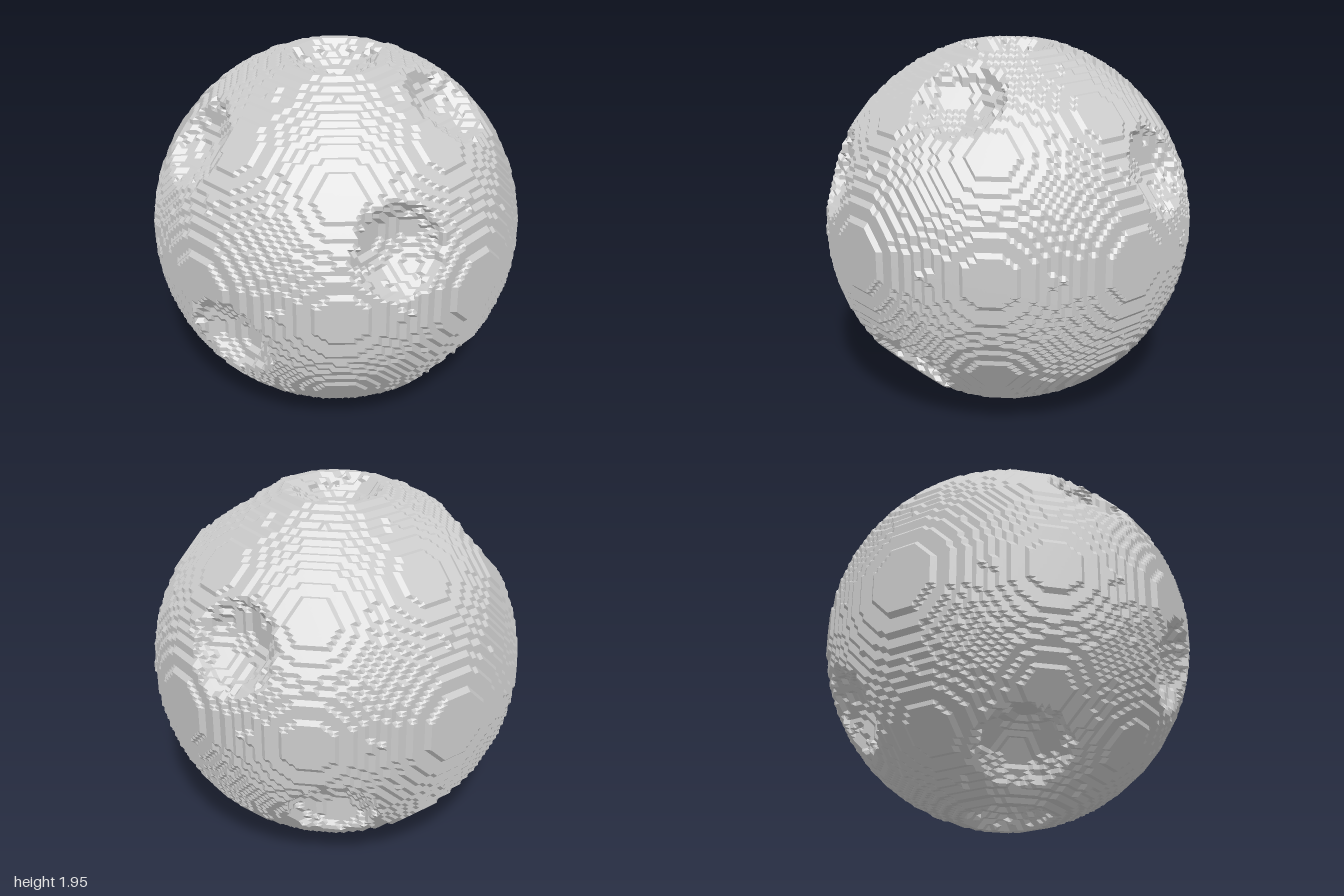
import * as THREE from 'three';

const N = 40;               // voxels from the centre to the outermost layer
const R = 40.73;            // sphere radius in voxels
const UNIT = 1 / (N + 0.5); // voxel size
const S = 2 * N + 3;        // samples per axis, with an empty border

// Crater directions, seen from the centre of the moon
const CRATERS = [
  [0, 1, 0], [0, -1, 0],
  [0.26, 0.80, 0.54], [0.07, -0.66, 0.75],
  [-0.43, 0.32, 0.84], [0.86, 0.42, -0.29],
  [0.54, -0.49, -0.68], [-0.71, 0.63, -0.31],
  [-0.38, -0.80, -0.46], [-0.95, -0.26, 0.15],
].map((d) => new THREE.Vector3(...d).normalize());
const BOWL_OFFSET = 1.18;   // distance of each bowl's centre
const BOWL_RADIUS = 0.32;

// Repeatable noise from 0 to 1
function noise(x, y, z) {
  const s = Math.sin(x * 12.99 + y * 78.23 + z * 37.72) * 43758.55;
  return s - Math.floor(s);
}

// Solid ball with a bowl scooped out for each crater
function isSolid(x, y, z) {
  if (x * x + y * y + z * z > R * R) return false;
  const p = new THREE.Vector3(x, y, z).multiplyScalar(UNIT);
  // the rims are broken up a little
  const rough = p.length() > 0.93 ? 0.02 * (noise(x, y, z) - 0.5) : 0;
  return !CRATERS.some((d) =>
    p.distanceTo(d.clone().multiplyScalar(BOWL_OFFSET)) < BOWL_RADIUS + rough);
}

// Cube faces, corners counter-clockwise from outside (bits: x = 1, y = 2, z = 4)
const FACES = [[1, 3, 7, 5], [0, 4, 6, 2], [2, 6, 7, 3], [0, 1, 5, 4], [4, 5, 7, 6], [0, 2, 3, 1]];

// Closed loops of cube edges that separate solid corners from empty ones
function cubeLoops(mask) {
  const solid = (c) => (mask >> c) & 1;
  const key = (a, b) => Math.min(a, b) * 8 + Math.max(a, b);
  const next = new Map();
  for (const f of FACES) {
    for (let i = 0; i < 4; i++) {
      const a = f[i], b = f[(i + 1) % 4];
      if (solid(a) || !solid(b)) continue;
      let j = i + 1;
      while (solid(f[(j + 1) % 4])) j++;
      next.set(key(a, b), key(f[j % 4], f[(j + 1) % 4]));
    }
  }
  const loops = [];
  while (next.size) {
    let e = next.keys().next().value;
    const loop = [];
    while (next.has(e)) {
      loop.push(e);
      const n = next.get(e);
      next.delete(e);
      e = n;
    }
    loops.push(loop);
  }
  return loops;
}

function voxelSurface() {
  const grid = new Uint8Array(S * S * S);
  const at = (x, y, z) => (z * S + y) * S + x;
  const c = N + 1;
  for (let z = 0; z < S; z++)
    for (let y = 0; y < S; y++)
      for (let x = 0; x < S; x++)
        grid[at(x, y, z)] = isSolid(x - c, y - c, z - c) ? 1 : 0;

  const table = Array.from({ length: 256 }, (_, m) => cubeLoops(m));
  const positions = [];
  for (let z = 0; z < S - 1; z++)
    for (let y = 0; y < S - 1; y++)
      for (let x = 0; x < S - 1; x++) {
        let mask = 0;
        for (let k = 0; k < 8; k++)
          mask |= grid[at(x + (k & 1), y + ((k >> 1) & 1), z + (k >> 2))] << k;
        // each vertex sits halfway along its cube edge
        const put = (e) => {
          const a = e >> 3, b = e & 7;
          positions.push(
            (x - c + ((a & 1) + (b & 1)) / 2) * UNIT,
            (y - c + (((a >> 1) & 1) + ((b >> 1) & 1)) / 2) * UNIT,
            (z - c + ((a >> 2) + (b >> 2)) / 2) * UNIT);
        };
        for (const loop of table[mask])
          for (let i = 1; i < loop.length - 1; i++) {
            put(loop[0]);
            put(loop[i]);
            put(loop[i + 1]);
          }
      }
  const g = new THREE.BufferGeometry();
  g.setAttribute('position', new THREE.Float32BufferAttribute(positions, 3));
  g.computeVertexNormals();
  return g;
}

export function createModel() {
  const group = new THREE.Group();
  group.name = 'crateredMoon';
  const material = new THREE.MeshStandardMaterial({ color: 0xcccccc, flatShading: true });
  const geometry = voxelSurface();
  geometry.computeBoundingBox();
  const moon = new THREE.Mesh(geometry, material);
  moon.name = 'moonSurface';
  moon.position.y = -geometry.boundingBox.min.y; // rest on the ground
  group.add(moon);
  return group;
}
